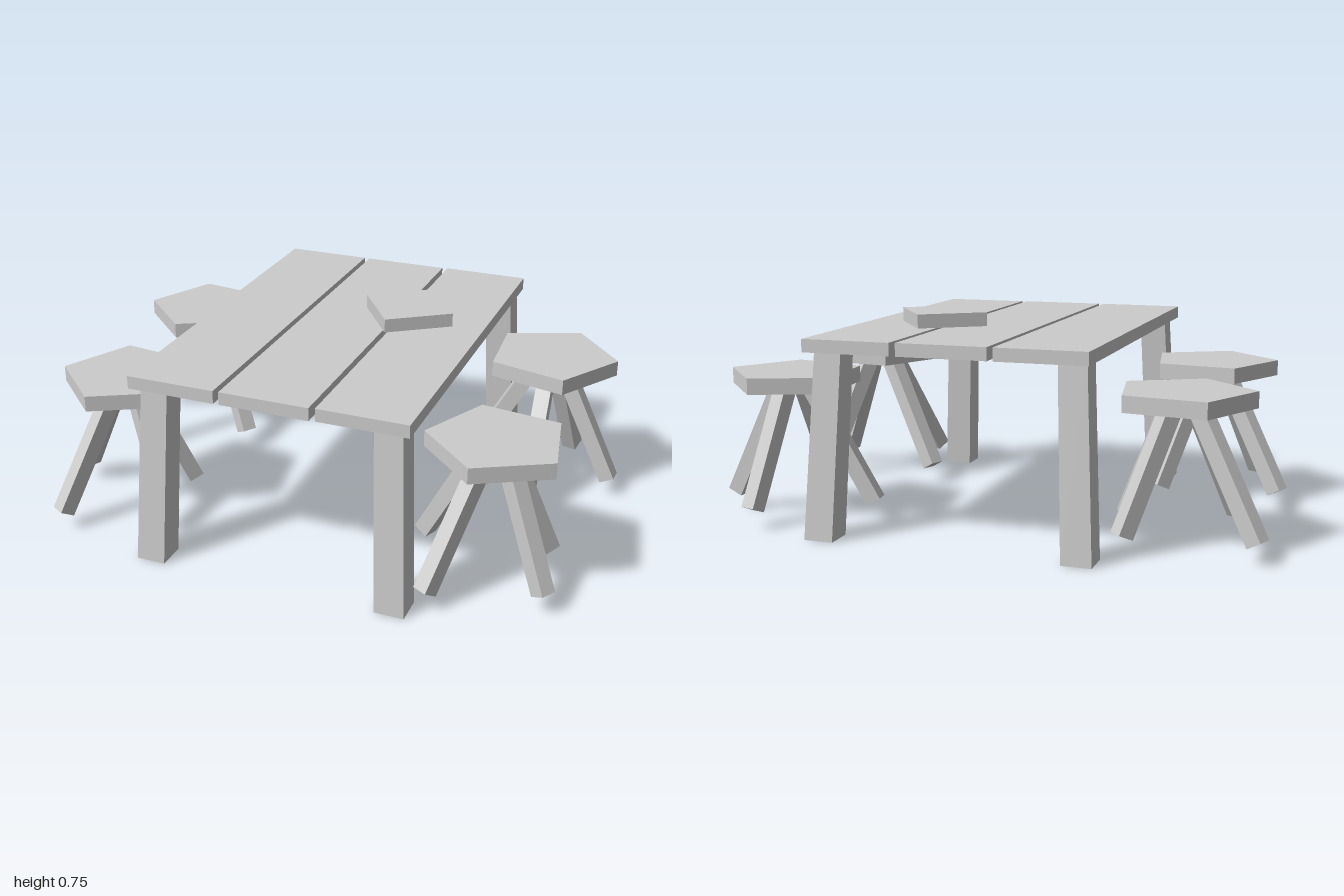
import * as THREE from 'three';

const material = new THREE.MeshStandardMaterial({ color: 0xcccccc, flatShading: true });

function addMesh(parent, geometry, name, x = 0, y = 0, z = 0) {
  const mesh = new THREE.Mesh(geometry, material);
  mesh.name = name;
  mesh.position.set(x, y, z);
  parent.add(mesh);
  return mesh;
}

// Upright post whose top is shifted and slightly narrowed, with level ends
function leaningPost(height, width, dx, dz) {
  const geometry = new THREE.BoxGeometry(width, height, width).translate(0, height / 2, 0);
  const p = geometry.attributes.position;
  for (let i = 0; i < p.count; i++) {
    const t = p.getY(i) / height;
    const s = 1 - 0.07 * t;
    p.setX(i, p.getX(i) * s + dx * t);
    p.setZ(i, p.getZ(i) * s + dz * t);
  }
  geometry.computeVertexNormals();
  return geometry;
}

function createTable() {
  const table = new THREE.Group();
  table.name = 'table';
  // Three top planks
  for (const [x, z] of [[-0.31, -0.003], [0.024, -0.003], [0.358, -0.008]]) {
    addMesh(table, new THREE.BoxGeometry(0.314, 0.045, 1.385), 'plank', x, 0.679, z);
  }
  // Four legs splaying outwards
  const legs = [[-0.422, 0.648], [0.464, 0.648], [-0.422, -0.613], [0.493, -0.613]];
  for (const [x, z] of legs) {
    const post = leaningPost(0.66, 0.105, -Math.sign(x) * 0.03, -Math.sign(z) * 0.046);
    addMesh(table, post, 'tableLeg', x, 0, z);
  }
  return table;
}

function createStool(x, z, turn = 0) {
  const stool = new THREE.Group();
  stool.name = 'stool';
  // Five-sided seat
  const seat = new THREE.CylinderGeometry(0.243, 0.243, 0.057, 5, 1, false, -0.133);
  addMesh(stool, seat, 'seat', 0, 0.513, 0);
  // Square legs fanning out from below the seat centre
  const feet = [[0.165, -0.158], [0.215, 0.138], [-0.15, 0.268], [-0.272, -0.113]];
  for (const [fx, fz] of feet) {
    const foot = new THREE.Vector3(fx, 0.07, fz);
    const top = new THREE.Vector3(fx * 0.18, 0.5, fz * 0.18);
    const leg = addMesh(stool, new THREE.BoxGeometry(0.057, 0.057, foot.distanceTo(top)), 'stoolLeg');
    leg.position.lerpVectors(foot, top, 0.5);
    leg.lookAt(top);
  }
  stool.position.set(x, 0, z);
  stool.rotation.y = turn;
  return stool;
}

export function createModel() {
  const model = new THREE.Group();
  model.name = 'tableWithStools';
  model.add(createTable());

  // Small block lying on the table top
  const block = addMesh(model, new THREE.BoxGeometry(0.252, 0.05, 0.252), 'block', 0.225, 0.726, -0.15);
  block.rotation.y = 0.61;

  model.add(
    createStool(-0.698, -0.351),
    createStool(-0.672, 0.355),
    createStool(0.71, 0.355),
    createStool(0.717, -0.38, 0.52),
  );
  return model;
}
